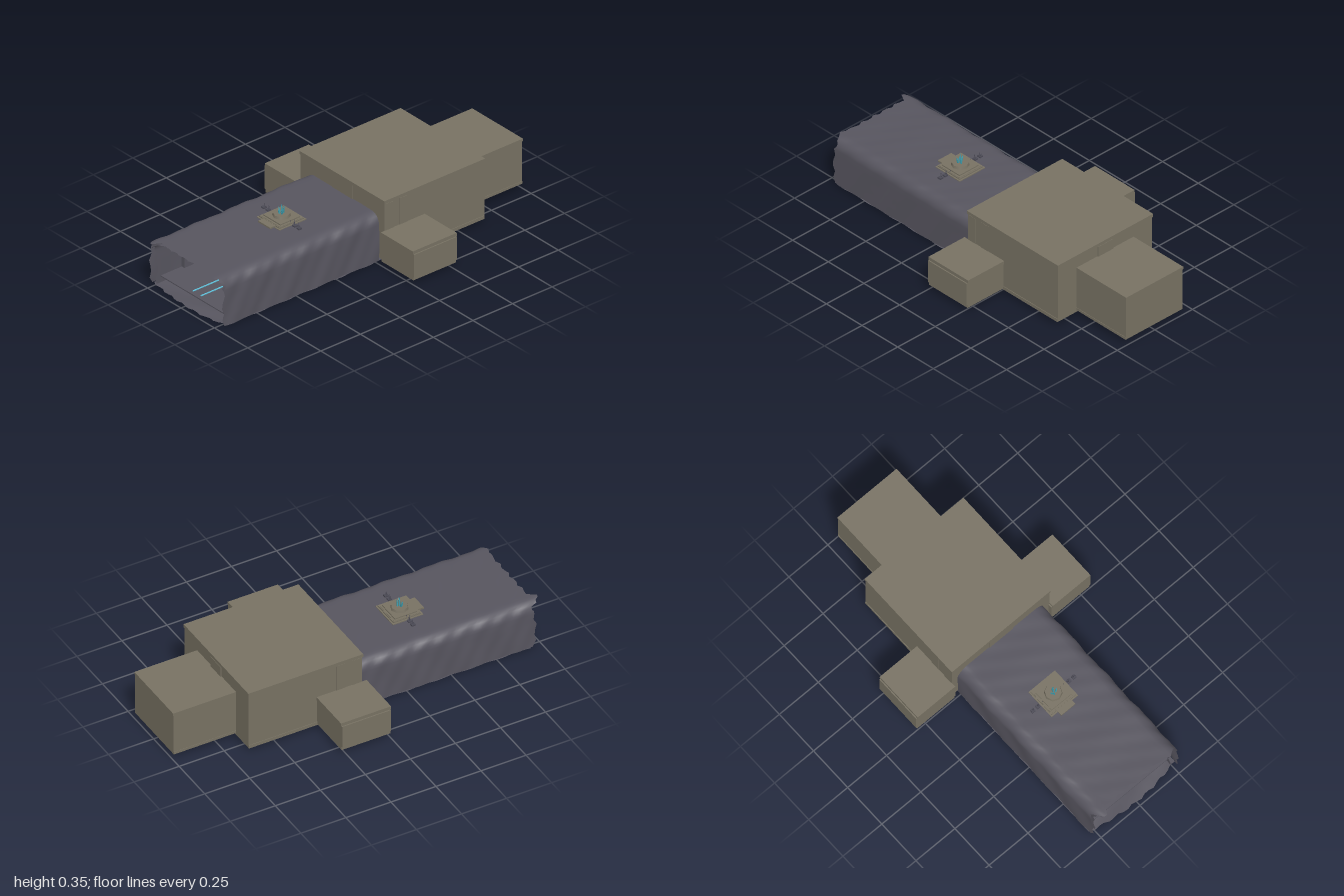
import * as THREE from 'three';

const mat = (name, color, extra = {}) => {
  const m = new THREE.MeshStandardMaterial({ color, ...extra });
  m.name = name;
  return m;
};

export function createModel() {
  const root = new THREE.Group();
  root.name = 'buriedTemple';
  const stone = mat('sandstone', 0x787263);
  const rock = mat('slateRock', 0x57555f, { side: THREE.DoubleSide });
  const spikeRock = mat('darkSpikeRock', 0x4c4b56, { flatShading: true });
  const glow = mat('glowLine', 0x62c4de);
  const crystal = mat('crystal', 0x3f9aaa, { flatShading: true });

  const add = (name, geo, material, x = 0, y = 0, z = 0, parent = root) => {
    const m = new THREE.Mesh(geo, material);
    m.name = name;
    m.position.set(x, y, z);
    parent.add(m);
    return m;
  };
  // box given by its limits on each axis
  const box = (name, x0, x1, y0, y1, z0, z1, material = stone) =>
    add(name, new THREE.BoxGeometry(x1 - x0, y1 - y0, z1 - z0), material,
      (x0 + x1) / 2, (y0 + y1) / 2, (z0 + z1) / 2);

  // room: walls with a floor slab and a roof slab
  const room = (name, x0, x1, y0, y1, z0, z1, slab, inset) => {
    box(name + 'Walls', x0, x1, y0 + slab, y1 - slab, z0, z1);
    box(name + 'Roof', x0 + inset, x1 - inset, y1 - slab, y1, z0 - 0.004, z1 + 0.004);
    box(name + 'Floor', x0 + inset, x1 - inset, y0, y0 + slab, z0, z1);
  };
  room('hall', -0.314, 0.314, 0.02, 0.355, -0.65, -0.02, 0.018, -0.003);
  room('rearRoom', -0.188, 0.188, 0.03, 0.28, -0.995, -0.645, 0.014, -0.002);
  for (const s of [-1, 1]) {
    const x0 = s > 0 ? 0.308 : -0.56;
    room(s > 0 ? 'leftRoom' : 'rightRoom', x0, x0 + 0.252, 0.025, 0.188, -0.27, 0, 0.018, 0.006);
    // raised wall panels on the sides and front of the hall
    for (const z of [-0.045, -0.135])
      box('sidePanel', s * 0.314 - 0.002, s * 0.314 + 0.002, 0.04, 0.335, z - 0.03, z + 0.02);
  }
  box('doorFrame', -0.075, 0.075, 0.04, 0.337, -0.022, -0.016);
  box('rearDoorFrame', -0.05, 0.05, 0.27, 0.337, -0.656, -0.648);

  // cave shell: a rounded arch swept along z with rough sides and a ragged mouth
  const arch = (hw, top, r, low) => {
    const p = [];
    for (let i = 0; i <= 6; i++) p.push([hw, low + (top - r - low) * i / 6]);
    for (let i = 1; i <= 6; i++) {
      const a = i / 6 * Math.PI / 2;
      p.push([hw - r + r * Math.cos(a), top - r + r * Math.sin(a)]);
    }
    for (let i = 1; i < 8; i++) p.push([(hw - r) * (1 - i / 8), top]);
    return [...p, [0, top], ...p.map(([x, y]) => [-x, y]).reverse()];
  };
  const sweep = (name, section, rows, zBack, zFront, rough) => {
    const pos = [], idx = [], n = section.length;
    for (let j = 0; j <= rows; j++) {
      const t = j / rows;
      section.forEach(([x, y], i) => {
        const z = zBack + (zFront(x, y, i) - zBack) * t;
        const w = rough * (Math.sin(z * 23 + y * 17) + 0.6 * Math.sin(z * 57 + i));
        pos.push(x + Math.sign(x) * Math.min(1, Math.abs(x) * 5) * w, y > 0.1 ? y + w * 0.4 : y, z);
        if (j < rows && i < n - 1) {
          const a = j * n + i;
          idx.push(a, a + 1, a + n, a + 1, a + n + 1, a + n);
        }
      });
    }
    const g = new THREE.BufferGeometry();
    g.setAttribute('position', new THREE.Float32BufferAttribute(pos, 3));
    g.setIndex(idx.reverse());
    g.computeVertexNormals();
    return add(name, g, rock);
  };
  const mouth = (x, y, i) => 0.955 + 0.008 * Math.sin(i * 2.3)
    - 0.012 * Math.sin(y / 0.2 * Math.PI) * (Math.abs(x) > 0.25 ? -1 : 1)
    + 0.045 * Math.exp(-(((x + 0.225) / 0.018) ** 2)) + 0.018 * Math.exp(-(((x - 0.2) / 0.02) ** 2));
  sweep('caveOuterShell', arch(0.274, 0.262, 0.06, 0.004), 44, -0.02, mouth, 0.0025);
  sweep('caveInnerShell', arch(0.247, 0.245, 0.05, 0.004), 44, -0.01, (x, y, i) => mouth(x, y, i) - 0.012, 0.001);

  // underside sheet with bowed ends
  const under = new THREE.PlaneGeometry(0.55, 1, 20, 40).rotateX(-Math.PI / 2);
  const up = under.attributes.position;
  for (let i = 0; i < up.count; i++) {
    const x = up.getX(i), t = up.getZ(i) + 0.5;
    const bow = Math.cos(x / 0.275 * Math.PI / 2);
    const back = -0.15 - 0.1 * bow + 0.02 * Math.sin(x * 30);
    const front = 0.94 + 0.036 * bow + 0.006 * Math.sin(x * 70);
    up.setZ(i, back + (front - back) * t);
    up.setY(i, 0.003 + 0.003 * Math.sin(t * 40 + x * 15));
  }
  under.computeVertexNormals();
  add('caveUnderside', under, rock);
  box('caveFloor', -0.247, 0.247, 0.036, 0.042, 0, 0.92, rock);

  // stepped pyramid with a glowing line round each tier
  const cz = 0.365;
  const tiers = [0.235, 0.19, 0.15, 0.11, 0.085];
  tiers.forEach((h, i) => {
    const y = 0.042 + i * 0.046;
    box('pyramidTier', -h, h, y, y + 0.04, cz - h, cz + h);
    box('pyramidLedge', -h + 0.008, h - 0.008, y + 0.04, y + 0.046, cz - h + 0.008, cz + h - 0.008);
    if (i > 3) return;
    const l = h * 0.7;
    for (const s of [-1, 1]) {
      box('tierGlow', -l, l, y + 0.021, y + 0.027, cz + s * h - 0.002, cz + s * h + 0.002, glow);
      box('tierGlow', s * h - 0.002, s * h + 0.002, y + 0.021, y + 0.027, cz - l, cz + l, glow);
    }
  });
  // front staircase
  const steps = 22;
  for (let i = 0; i < steps; i++) {
    const y = 0.042 + (i + 1) * 0.0104;
    box('stairStep', -0.045, 0.045, y - 0.0104, y, 0.43, 0.66 - i * 0.0088);
  }
  // floor glow channels and wall blocks
  for (const s of [-1, 1]) {
    box('floorGlow', s * 0.03 - 0.003, s * 0.03 + 0.003, 0.042, 0.046, 0.67, 0.9, glow);
    for (const z of [0.76, 0.5, 0.2])
      box('wallBlock', s * 0.235 - 0.011, s * 0.235 + 0.011, 0.045, 0.1, z - 0.03, z + 0.03, rock);
  }

  // shrine on top
  box('shrinePlinth', -0.074, 0.074, 0.25, 0.274, cz - 0.072, cz + 0.072);
  box('shrineCap', -0.064, 0.064, 0.274, 0.28, cz - 0.062, cz + 0.062);
  add('shrineDais', new THREE.CylinderGeometry(0.042, 0.046, 0.014, 8), stone, 0, 0.286, cz);
  const shards = new THREE.Group();
  shards.name = 'crystalCluster';
  shards.position.set(0, 0.291, cz);
  root.add(shards);
  [[0, 0, 0.056, 0], [0.009, 0.006, 0.04, -0.25], [-0.01, 0.003, 0.036, 0.3],
    [0.003, -0.01, 0.042, -0.1], [-0.004, 0.012, 0.03, 0.12]].forEach(([x, z, h, tilt]) => {
    const g = new THREE.CylinderGeometry(0.004, 0.005, h * 0.6, 5).translate(0, h * 0.3, 0);
    const c = add('crystalShaft', g, crystal, x, 0, z, shards);
    c.rotation.z = tilt;
    add('crystalTip', new THREE.ConeGeometry(0.004, h * 0.4, 5), crystal, 0, h * 0.8, 0, c);
  });

  // spikes flanking the shrine, and hanging spikes in the cave
  const spike = (name, x, y0, y1, z, r) => {
    const m = add(name, new THREE.ConeGeometry(r, Math.abs(y1 - y0), 4), spikeRock, x, (y0 + y1) / 2, z);
    if (y1 < y0) m.rotation.x = Math.PI;
  };
  for (const s of [-1, 1]) {
    [[0.095, 0.3], [0.128, 0.298], [0.068, 0.285], [0.14, 0.28]].forEach(([x, top]) =>
      spike('rockSpike', s * x, 0.19, top, cz, 0.02));
    for (const x of [0.1, 0.132]) box('spikeFoot', s * x - 0.01, s * x + 0.01, 0.185, 0.27, cz - 0.01, cz + 0.01, spikeRock);
    spike('hangingSpike', s * 0.02, 0.246, 0.2, 0.72, 0.018);
    spike('hangingSpike', s * 0.12, 0.246, 0.19, 0.62, 0.02);
    spike('floorRoot', s * 0.15, 0.042, 0.015, 0.6, 0.03);
  }
  return root;
}
